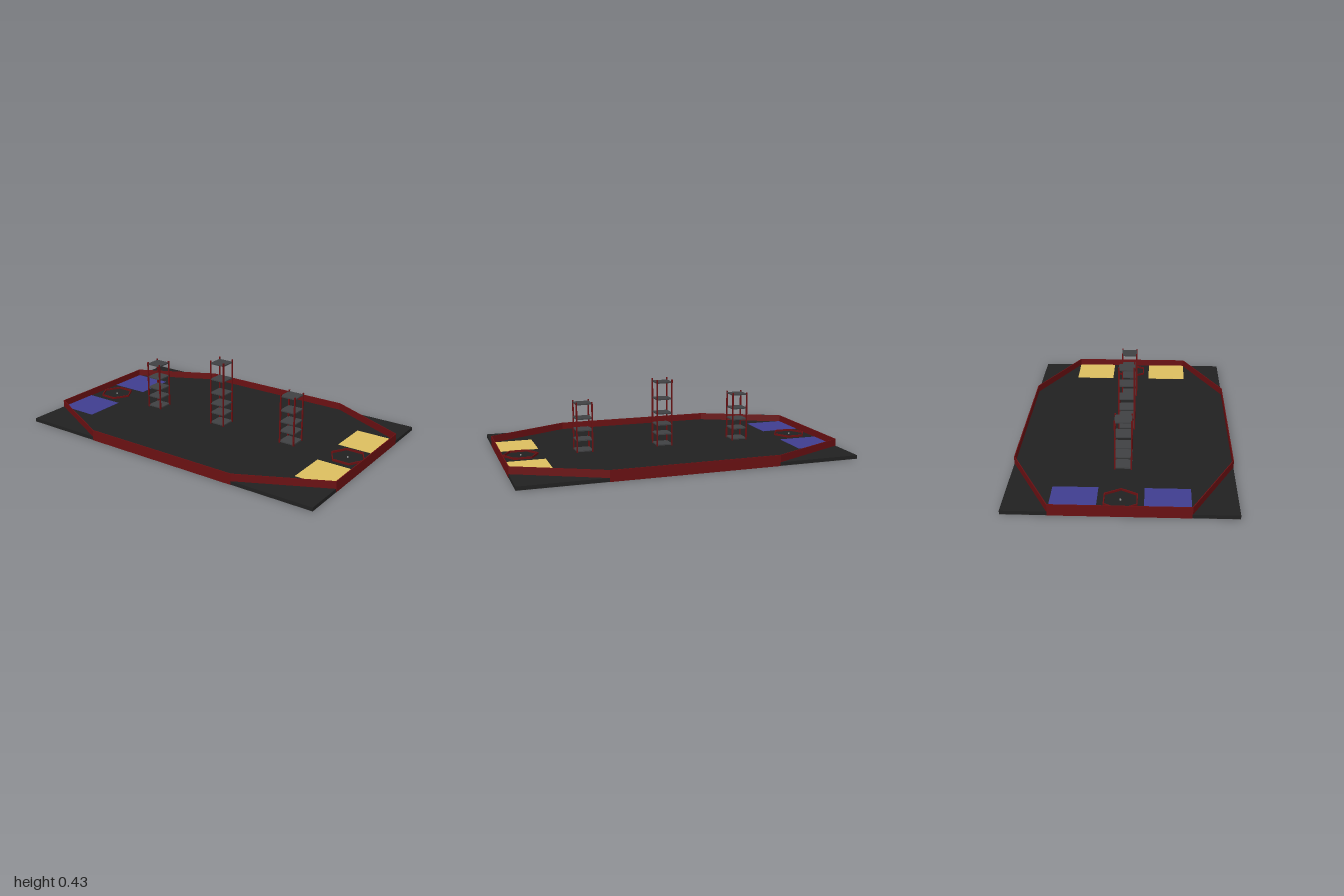
import * as THREE from 'three';

const mat = (color) => new THREE.MeshStandardMaterial({ color });
const RED = mat(0x6a1012), FLOOR = mat(0x212121), UNDER = mat(0x555555);
const SHELF = mat(0x404143), BLUE = mat(0x403e90), YELLOW = mat(0xdcbe60), GREY = mat(0x8a8a8a);
const FLOOR_Y = 0.022, WALL_Y = 0.065;

function box(parent, name, material, size, pos) {
  const mesh = new THREE.Mesh(new THREE.BoxGeometry(...size), material);
  mesh.name = name;
  mesh.position.set(...pos);
  parent.add(mesh);
  return mesh;
}

// Upright panel between two points on the floor plan
function wall(parent, name, [x0, z0], [x1, z1], y0) {
  const length = Math.hypot(x1 - x0, z1 - z0);
  const panel = box(parent, name, RED, [length, WALL_Y - y0, 0.005],
    [(x0 + x1) / 2, (WALL_Y + y0) / 2, (z0 + z1) / 2]);
  panel.rotation.y = -Math.atan2(z1 - z0, x1 - x0);
}

// Open rack: four corner posts with shelves between them
function tower(name, z, height, levels) {
  const g = new THREE.Group();
  g.name = name;
  g.position.z = z;
  for (const sx of [-1, 1]) for (const sz of [-1, 1]) {
    box(g, 'post', RED, [0.008, height - FLOOR_Y, 0.008],
      [sx * 0.047, (height + FLOOR_Y) / 2, sz * 0.047]);
  }
  for (const y of levels) {
    box(g, 'shelf', SHELF, [0.098, 0.007, 0.086], [0, y, 0]);
    for (const s of [-1, 1]) box(g, 'shelfEdge', SHELF, [0.086, 0.007, 0.006], [0, y, s * 0.046]);
  }
  return g;
}

// Thin raised hexagonal outline with a centre pin
function hexGoal(z) {
  const g = new THREE.Group();
  g.name = 'hexGoal';
  g.position.set(0, FLOOR_Y, z);
  const ring = (r) => Array.from({ length: 6 }, (_, i) => {
    const a = Math.PI / 2 + i * Math.PI / 3;
    return new THREE.Vector2(r * Math.cos(a), r * Math.sin(a));
  });
  const shape = new THREE.Shape(ring(0.105));
  shape.holes.push(new THREE.Path(ring(0.098).reverse()));
  const geo = new THREE.ExtrudeGeometry(shape, { depth: 0.012, bevelEnabled: false });
  geo.rotateX(-Math.PI / 2);
  const rim = new THREE.Mesh(geo, RED);
  rim.name = 'hexRim';
  g.add(rim);
  const pin = new THREE.Mesh(new THREE.CylinderGeometry(0.005, 0.005, 0.008, 8), GREY);
  pin.name = 'centrePin';
  pin.position.y = 0.004;
  g.add(pin);
  return g;
}

export function createModel() {
  const root = new THREE.Group();
  root.name = 'playingField';

  // Floor slab with a lighter underside
  box(root, 'floor', FLOOR, [1.245, FLOOR_Y - 0.001, 1.998], [0, (FLOOR_Y + 0.001) / 2, 0]);
  box(root, 'underside', UNDER, [1.245, 0.001, 1.998], [0, 0.0005, 0]);

  // Eight-sided perimeter wall
  for (const s of [-1, 1]) {
    wall(root, 'endWall', [-0.375, s * 0.9975], [0.375, s * 0.9975], 0);
    wall(root, 'sideWall', [s * 0.6215, -0.5], [s * 0.6215, 0.5], 0);
    for (const t of [-1, 1]) {
      wall(root, 'cornerWall', [s * 0.375, t * 0.9975], [s * 0.6215, t * 0.5], FLOOR_Y);
    }
  }

  // Coloured zones and hexagonal goals at each end
  for (const end of [-1, 1]) {
    for (const s of [-1, 1]) {
      box(root, end > 0 ? 'yellowZone' : 'blueZone', end > 0 ? YELLOW : BLUE,
        [0.25, 0.002, 0.245], [s * 0.25, FLOOR_Y + 0.001, end * 0.8725]);
    }
    root.add(hexGoal(end * 0.875));
  }

  // Shelf towers along the centre line
  const levels = [0.03, 0.096, 0.155, 0.225, 0.313];
  root.add(tower('frontTower', 0.5, 0.325, levels));
  root.add(tower('centreTower', 0, 0.433, [...levels, 0.415]));
  root.add(tower('backTower', -0.5, 0.325, levels));
  return root;
}
